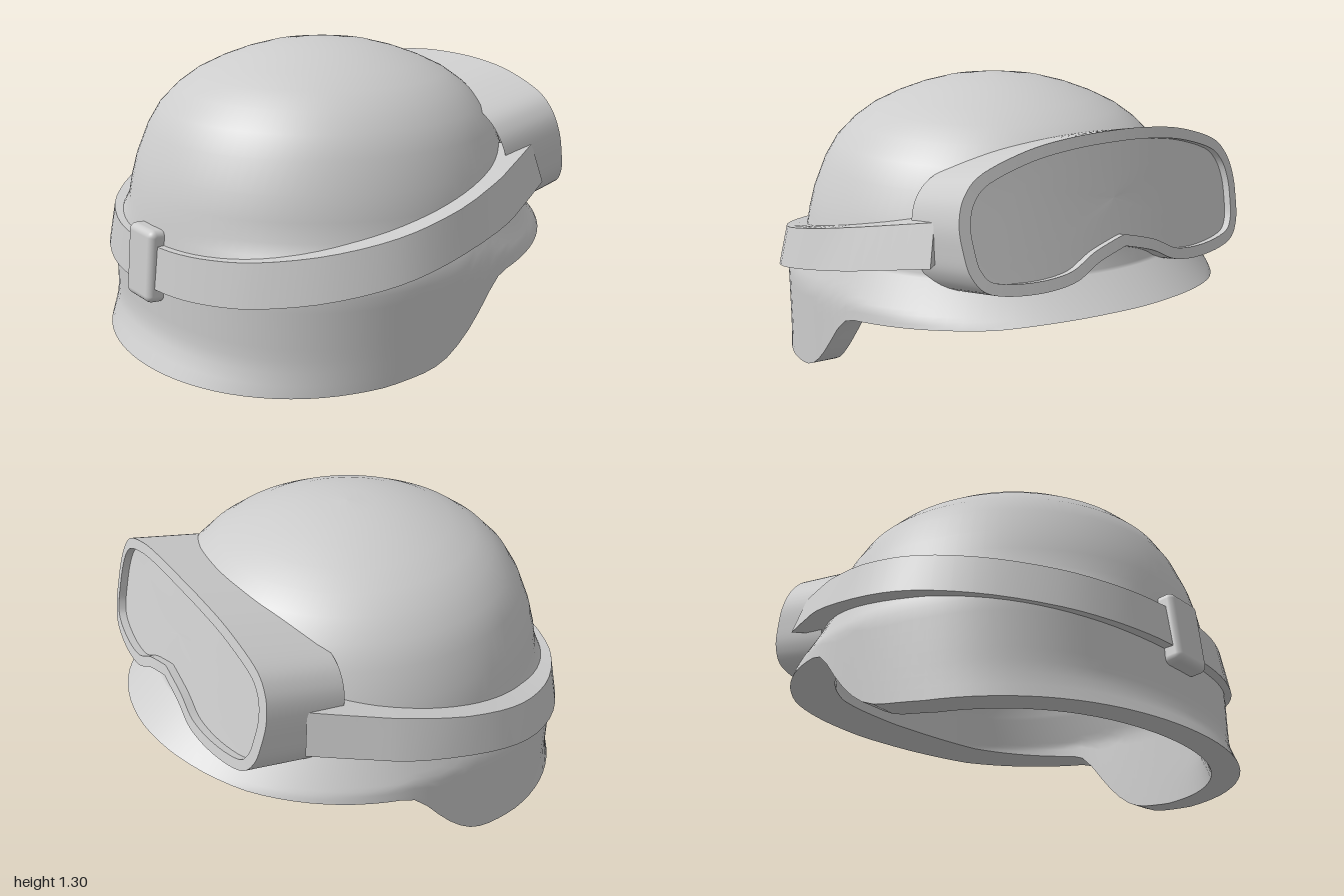
import * as THREE from 'three';
import { RoundedBoxGeometry } from 'three/addons/geometries/RoundedBoxGeometry.js';

const { lerp, clamp } = THREE.MathUtils;
const V2 = (x, y) => new THREE.Vector2(x, y);

// Piecewise linear lookup in a list of [key, value], keys descending
function lookup(list, k) {
  if (k >= list[0][0]) return list[0][1];
  for (let i = 1; i < list.length; i++) {
    const [k0, v0] = list[i - 1], [k1, v1] = list[i];
    if (k >= k1) return lerp(v1, v0, (k - k1) / (k0 - k1));
  }
  return list[list.length - 1][1];
}

// Smooth skin through rows of [x, y, z] points
function skin(rows, closed = true) {
  const n = rows[0].length, index = [];
  for (let i = 0; i < rows.length - 1; i++) {
    for (let j = 0; j < (closed ? n : n - 1); j++) {
      const k = (j + 1) % n;
      const a = i * n + j, b = i * n + k, c = a + n, d = b + n;
      index.push(a, c, b, b, c, d);
    }
  }
  const g = new THREE.BufferGeometry();
  g.setAttribute('position', new THREE.Float32BufferAttribute(rows.flat(2), 3));
  g.setIndex(index);
  g.computeVertexNormals();
  return g;
}

const ZC = 0.03, SHOULDER = 0.62;
// Dome profile as [height, radius]
const domeProfile = [[1.3, 0], [1.295, 0.12], [1.28, 0.235], [1.25, 0.35], [1.21, 0.46], [1.16, 0.565],
  [1.1, 0.65], [1.02, 0.73], [0.93, 0.785], [0.8, 0.838], [0.7, 0.865], [SHOULDER, 0.88]];
// Height of the lower rim along z: deep neck guard, ear cut, raised brim
const rimLine = [[1, 0], [0.6, 0.02], [0.37, 0.035], [0.2, 0.06], [0.12, 0.08], [0.05, 0.12], [-0.05, 0.21],
  [-0.15, 0.33], [-0.19, 0.37], [-0.23, 0.395], [-0.38, 0.41], [-0.8, 0.45], [-1, 0.49]];
const skirt = y => clamp((SHOULDER - y) / 0.16, 0, 1);
const widthScale = y => lerp(0.98, 1.03, skirt(y));

// Shell rows from crown to rim; inset > 0 gives the lining, which has no brim
function shellRows(inset) {
  const SEG = 96, LOW = 12, rows = [];
  const ring = f => Array.from({ length: SEG }, (_, j) => {
    const a = j / SEG * Math.PI * 2;
    const [r, y, drop] = f(a);
    const q = Math.max(0, r - inset);
    return [q * Math.sin(a) * widthScale(y), y - inset * drop, ZC + q * Math.cos(a)];
  });
  for (const [y, r] of domeProfile) rows.push(ring(() => [r, y, (y - SHOULDER) / 0.68]));
  for (let i = 1; i <= LOW; i++) {
    const t = i / LOW;
    rows.push(ring(a => {
      const c = Math.cos(a), front = c < 0;
      const flare = front ? (-c) ** 1.5 * 0.137 : c ** 4 * 0.07;
      const rim = lookup(rimLine, ZC + (0.9 + flare) * c);
      const y = lerp(SHOULDER, rim, t);
      const fullness = front ? 0 : 0.05 * Math.sin(2 * a) ** 2;
      const base = 0.88 + (0.02 + fullness) * skirt(y);
      const spread = front ? (inset ? 0 : t) : Math.max(0, (t - 0.8) / 0.2);
      return [base + flare * spread, y, 0];
    }));
  }
  return rows;
}

// Is a point at least "depth" inside the helmet surface
function insideDome(x, y, z, depth) {
  return Math.hypot(x / widthScale(y), z - ZC) < lookup(domeProfile, y) - depth;
}

export function createModel() {
  const group = new THREE.Group();
  const grey = new THREE.MeshStandardMaterial({ color: 0xcccccc, side: THREE.DoubleSide });
  grey.name = 'grey';
  const add = (name, geometry, parent = group) => {
    const m = new THREE.Mesh(geometry, grey);
    m.name = name;
    parent.add(m);
    return m;
  };

  // Helmet: outside, rim and lining
  const outer = shellRows(0), inner = shellRows(0.12);
  const helmet = new THREE.Group();
  helmet.name = 'helmet';
  group.add(helmet);
  add('helmetShell', skin(outer), helmet);
  add('helmetRim', skin([outer.at(-1), inner.at(-1)]), helmet);
  add('helmetLining', skin([...inner].reverse()), helmet);

  // Strap: tilted band from one side of the goggles round the back to the other
  const half = [[0.2, 0.96], [0.4, 0.91], [0.6, 0.81], [0.8, 0.62], [0.93, 0.38], [0.965, 0.13], [0.93, -0.2], [0.85, -0.42], [0.76, -0.63]];
  const path = new THREE.SplineCurve([
    ...[...half].reverse().map(([x, z]) => V2(-x, z)), V2(0, 0.97), ...half.map(([x, z]) => V2(x, z)),
  ]).getPoints(60);
  const topY = p => 0.53 + 0.204 * (0.965 - p.y);
  const lowY = p => 0.35 + 0.211 * (0.965 - p.y);
  // Inner edges lie just under the helmet surface
  const onDome = height => path.map(p => {
    const y = height(p), w = widthScale(y);
    const k = (lookup(domeProfile, y) - 0.01) / Math.hypot(p.x / w, p.y - ZC);
    return [p.x * k, y, ZC + (p.y - ZC) * k];
  });
  const topIn = onDome(topY), lowIn = onDome(lowY);
  const topOut = path.map(p => {
    const k = 0.98 - 0.022 * Math.abs(p.x) - 0.02 * clamp(-p.y / 0.2, 0, 1);
    return [p.x * k, topY(p), p.y * k];
  });
  const lowOut = path.map(p => [p.x, lowY(p), p.y]);
  const strap = new THREE.Group();
  strap.name = 'strap';
  group.add(strap);
  const corners = [topIn, topOut, lowOut, lowIn];
  ['strapTop', 'strapFace', 'strapUnderside'].forEach((name, i) =>
    add(name, skin([corners[i], corners[i + 1]], false), strap));
  const e = path.length - 1;
  add('strapEndLeft', skin([[topOut[e], topIn[e]], [lowOut[e], lowIn[e]]], false), strap);
  add('strapEndRight', skin([[topIn[0], topOut[0]], [lowIn[0], lowOut[0]]], false), strap);

  // Buckle on the back of the strap
  const buckle = add('buckle', new RoundedBoxGeometry(0.2, 0.31, 0.09, 4, 0.03));
  buckle.position.set(0, 0.438, 0.943);
  buckle.rotation.x = -0.09;

  // Goggles: outline with a nose notch, laid on a tilted, bowed face
  const side = [[0.14, 0.67], [0.27, 0.61], [0.45, 0.595], [0.63, 0.62], [0.7, 0.69], [0.72, 0.79], [0.72, 0.89], [0.685, 0.985], [0.6, 1.06], [0.4, 1.125], [0.2, 1.153]];
  const outline = new THREE.SplineCurve([
    V2(0, 0.71), ...side.map(p => V2(...p)), V2(0, 1.16), ...[...side].reverse().map(([x, y]) => V2(-x, y)), V2(0, 0.71),
  ]).getPoints(120).slice(0, -1);
  const N = outline.length;
  const inset = outline.map((p, i) => {
    const t = outline[(i + 1) % N].clone().sub(outline[(i + N - 1) % N]).normalize();
    return V2(p.x - t.y * 0.045, p.y + t.x * 0.045);
  });
  const onFace = (p, s = 0) => [p.x, p.y - s * 0.2,
    -0.775 - (1.16 - p.y) * 0.245 + 0.07 * (p.x / 0.72) ** 2 + s * 0.975];
  const front = outline.map(p => onFace(p));
  const lip = inset.map(p => onFace(p));
  // The body runs back until it sinks into the helmet
  const back = outline.map(p => {
    let s = 0.02;
    while (s < 0.35 && !insideDome(...onFace(p, s), 0.03)) s += 0.01;
    return onFace(p, s);
  });
  const goggles = new THREE.Group();
  goggles.name = 'goggles';
  group.add(goggles);
  add('goggleBody', skin([back, front]), goggles);
  add('goggleFrame', skin([front, lip]), goggles);
  const lensRow = k => inset.map(p => onFace(V2(p.x * k, 0.9 + (p.y - 0.9) * k), 0.035));
  add('goggleRecess', skin([lip, lensRow(1)]), goggles);
  add('goggleLens', skin([1, 0.75, 0.5, 0.25, 0].map(lensRow)), goggles);

  return group;
}
